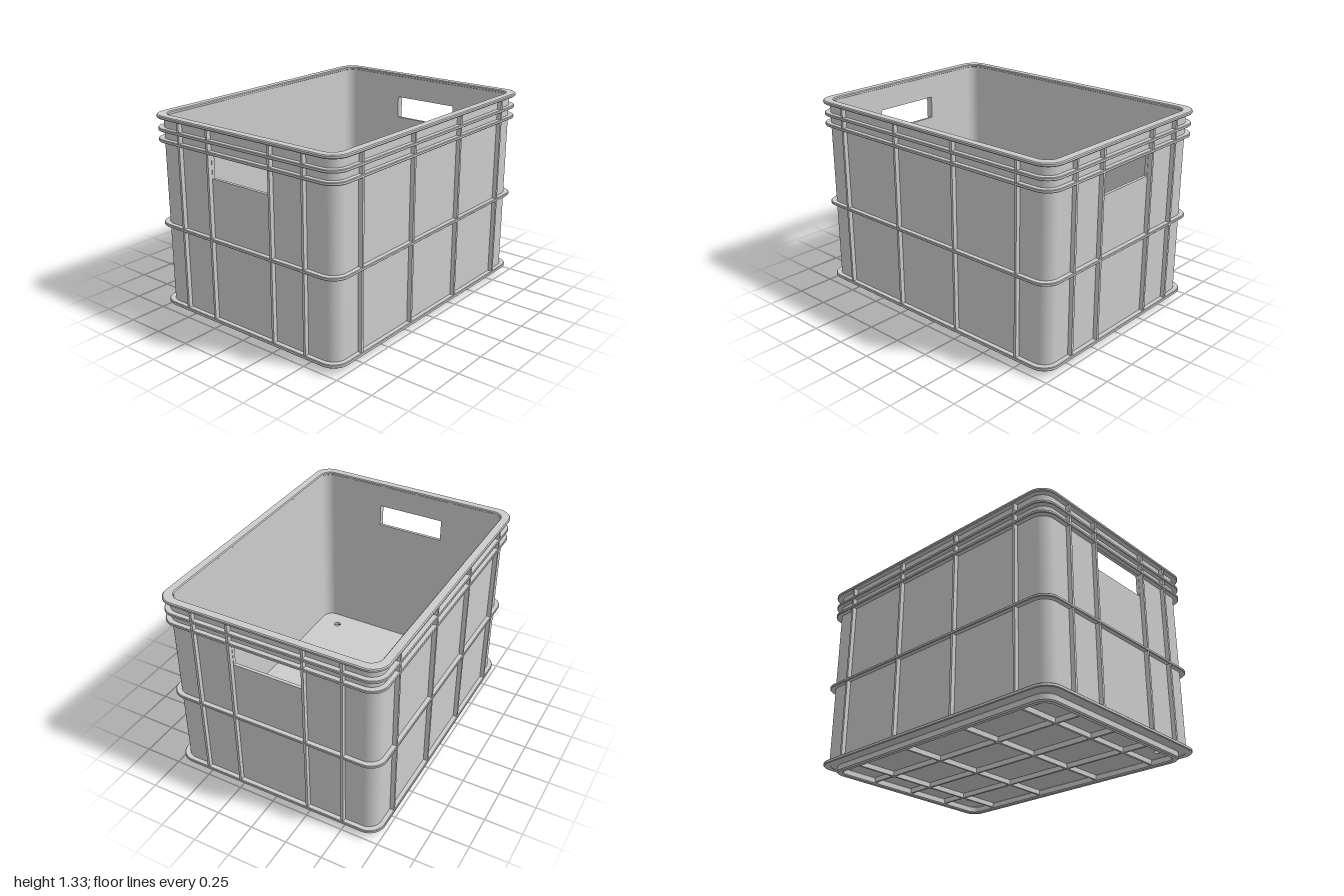
import * as THREE from 'three';
import { toCreasedNormals } from 'three/addons/utils/BufferGeometryUtils.js';

const mat = new THREE.MeshStandardMaterial({ color: 0xcccccc });
const INNER = [0.942, 0.692, 0.075];  // half x, half z, corner radius
const PANEL = [0.963, 0.713, 0.09];
const OUTER = [0.995, 0.745, 0.11];
const BOTTOM = 0.05, TOP = 1.32;

// Traces a rounded rectangle
function trace(path, [x, z, r]) {
  path.moveTo(x, -z + r);
  path.lineTo(x, z - r);
  path.absarc(x - r, z - r, r, 0, Math.PI / 2);
  path.lineTo(-x + r, z);
  path.absarc(-x + r, z - r, r, Math.PI / 2, Math.PI);
  path.lineTo(-x, -z + r);
  path.absarc(-x + r, -z + r, r, Math.PI, Math.PI * 1.5);
  path.lineTo(x - r, -z);
  path.absarc(x - r, -z + r, r, Math.PI * 1.5, Math.PI * 2);
  return path;
}

// Extrudes a plan shape upward from y0 to y1, with an optional small bevel
function rise(shape, y0, y1, bevel = 0) {
  const g = new THREE.ExtrudeGeometry(shape, {
    depth: y1 - y0 - 2 * bevel, curveSegments: 8, bevelEnabled: bevel > 0,
    bevelSize: bevel, bevelThickness: bevel, bevelOffset: -bevel, bevelSegments: 1,
  });
  g.rotateX(-Math.PI / 2).translate(0, y0 + bevel, 0);
  return toCreasedNormals(g, 0.6);
}

function ring(outer, inner, y0, y1, bevel) {
  const shape = trace(new THREE.Shape(), outer);
  shape.holes.push(trace(new THREE.Path(), inner));
  return rise(shape, y0, y1, bevel);
}

export function createModel() {
  const crate = new THREE.Group();
  const add = (name, geometry) => {
    const mesh = new THREE.Mesh(geometry, mat);
    mesh.name = name;
    crate.add(mesh);
    return mesh;
  };
  const box = (name, sx, sy, sz, x, y, z) =>
    add(name, new THREE.BoxGeometry(sx, sy, sz).translate(x, y, z));

  // Long walls, each with its two rounded corners
  const [ix, iz, ir] = INNER, [px, pz, pr] = PANEL;
  const seam = iz - ir;
  for (const side of [1, -1]) {
    const s = new THREE.Shape();
    s.moveTo(px, seam);
    s.lineTo(px, pz - pr);
    s.absarc(px - pr, pz - pr, pr, 0, Math.PI / 2);
    s.lineTo(-px + pr, pz);
    s.absarc(-px + pr, pz - pr, pr, Math.PI / 2, Math.PI);
    s.lineTo(-px, seam);
    s.lineTo(-ix, seam);
    s.absarc(-ix + ir, iz - ir, ir, Math.PI, Math.PI / 2, true);
    s.lineTo(ix - ir, iz);
    s.absarc(ix - ir, iz - ir, ir, Math.PI / 2, 0, true);
    const wall = add(side > 0 ? 'backWall' : 'frontWall', rise(s, BOTTOM, TOP - 0.005));
    if (side < 0) wall.rotation.y = Math.PI;
  }

  // End walls with the hand hole
  for (const side of [1, -1]) {
    const s = new THREE.Shape();
    s.moveTo(-seam, BOTTOM);
    s.lineTo(seam, BOTTOM);
    s.lineTo(seam, TOP - 0.005);
    s.lineTo(-seam, TOP - 0.005);
    const hole = new THREE.Path();
    hole.moveTo(-0.24, 0.995);
    hole.lineTo(-0.24, 1.15);
    hole.lineTo(0.24, 1.15);
    hole.lineTo(0.24, 0.995);
    s.holes.push(hole);
    const g = new THREE.ExtrudeGeometry(s, { depth: px - ix, bevelEnabled: false });
    g.rotateY(side * Math.PI / 2).translate(side * ix, 0, 0);
    add(side > 0 ? 'leftEndWall' : 'rightEndWall', g);
  }

  // Horizontal ribs running all the way round
  const core = [0.95, 0.70, 0.08];
  for (const [name, y0, y1] of [
    ['bottomFlange', 0.045, 0.068], ['middleRib', 0.594, 0.614],
    ['lowerBandRib', 1.152, 1.172], ['upperBandRib', 1.222, 1.242],
  ]) add(name, ring(OUTER, core, y0, y1, 0.004));
  add('topRim', ring([1, 0.75, 0.115], [0.94, 0.69, 0.075], 1.302, TOP + 0.005, 0.006));

  // Vertical ribs
  const height = TOP - 0.01 - BOTTOM, mid = BOTTOM + height / 2, deep = 0.037;
  for (const side of [1, -1]) {
    for (const x of [-0.75, -0.25, 0.25, 0.75])
      box('longWallRib', 0.016, height, deep, x, mid, side * (OUTER[1] - 0.003 - deep / 2));
    for (const z of [-0.5, -0.25, 0.25, 0.5])
      box('endWallRib', deep, height, 0.016, side * (OUTER[0] - 0.003 - deep / 2), mid, z);
  }

  // Floor with a small drain hole near each corner
  const floor = trace(new THREE.Shape(), [0.955, 0.705, 0.085]);
  for (const [x, z] of [[-0.76, -0.58], [0.76, -0.49], [-0.82, 0.54], [0.77, 0.46]]) {
    const hole = new THREE.Path();
    hole.absarc(x, -z, 0.025, 0, Math.PI * 2, true);
    floor.holes.push(hole);
  }
  add('floor', rise(floor, 0.046, 0.066));

  // Stacking foot and the rib grid under the floor
  add('stackingFoot', ring([0.925, 0.675, 0.09], [0.885, 0.635, 0.06], 0, 0.05, 0.008));
  for (const x of [-0.7, -0.25, 0.25, 0.7]) box('floorRibAcross', 0.016, 0.035, 1.3, x, 0.031, 0);
  for (const z of [-0.33, 0, 0.33]) box('floorRibAlong', 1.8, 0.035, 0.016, 0, 0.0305, z);

  return crate;
}
